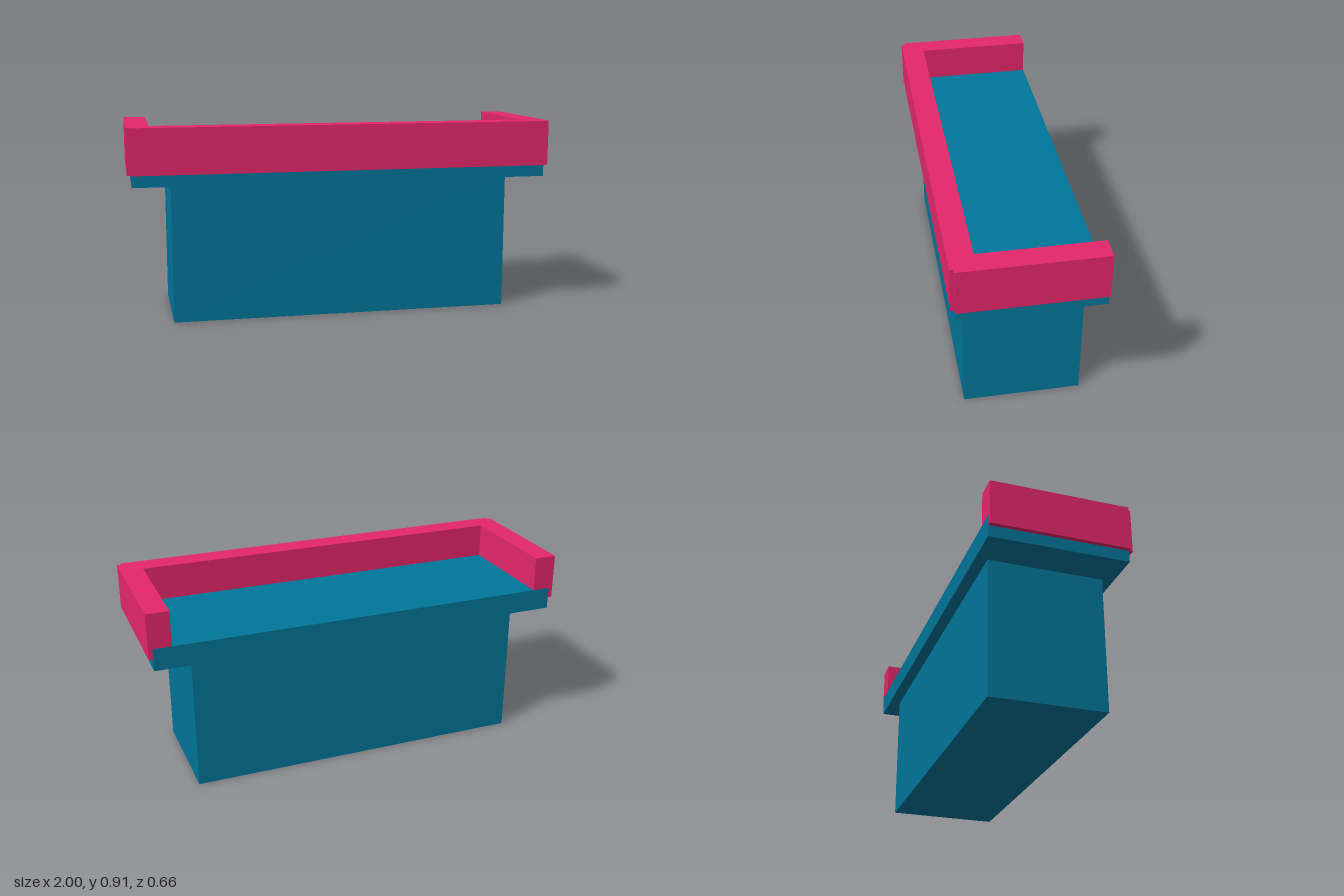
import * as THREE from 'three';

const teal = new THREE.MeshStandardMaterial({ name: 'teal', color: 0x00769a });
const crimson = new THREE.MeshStandardMaterial({ name: 'crimson', color: 0xe5276a });

// Box given by its half width, y range and z range, centred on x = 0
function block(name, halfX, y0, y1, z0, z1, material) {
  const mesh = new THREE.Mesh(new THREE.BoxGeometry(2 * halfX, y1 - y0, z1 - z0), material);
  mesh.position.set(0, (y0 + y1) / 2, (z0 + z1) / 2);
  mesh.name = name;
  return mesh;
}

export function createModel() {
  const group = new THREE.Group();
  group.name = 'counter';

  // Base cabinet and overhanging worktop, whose upper half sits inside the rail
  group.add(block('base', 0.805, 0, 0.644, -0.276, 0.26, teal));
  group.add(block('worktop', 0.98, 0.644, 0.748, -0.3305, 0.313, teal));

  // U-shaped rail, open at the back, with small notches at the front corners
  const half = [[0.895, -0.3295], [1, -0.3295], [1, 0.313], [0.98, 0.313], [0.98, 0.3305]];
  const mirrored = half.map(([x, z]) => [-x, z]).reverse();
  const outline = [...half, ...mirrored, [-0.895, 0.22], [0.895, 0.22]];
  const shape = new THREE.Shape(outline.map(([x, z]) => new THREE.Vector2(x, -z)));
  const geometry = new THREE.ExtrudeGeometry(shape, { depth: 0.213, bevelEnabled: false });
  geometry.rotateX(-Math.PI / 2);
  const rail = new THREE.Mesh(geometry, crimson);
  rail.position.y = 0.699;
  rail.name = 'rail';
  group.add(rail);

  return group;
}
